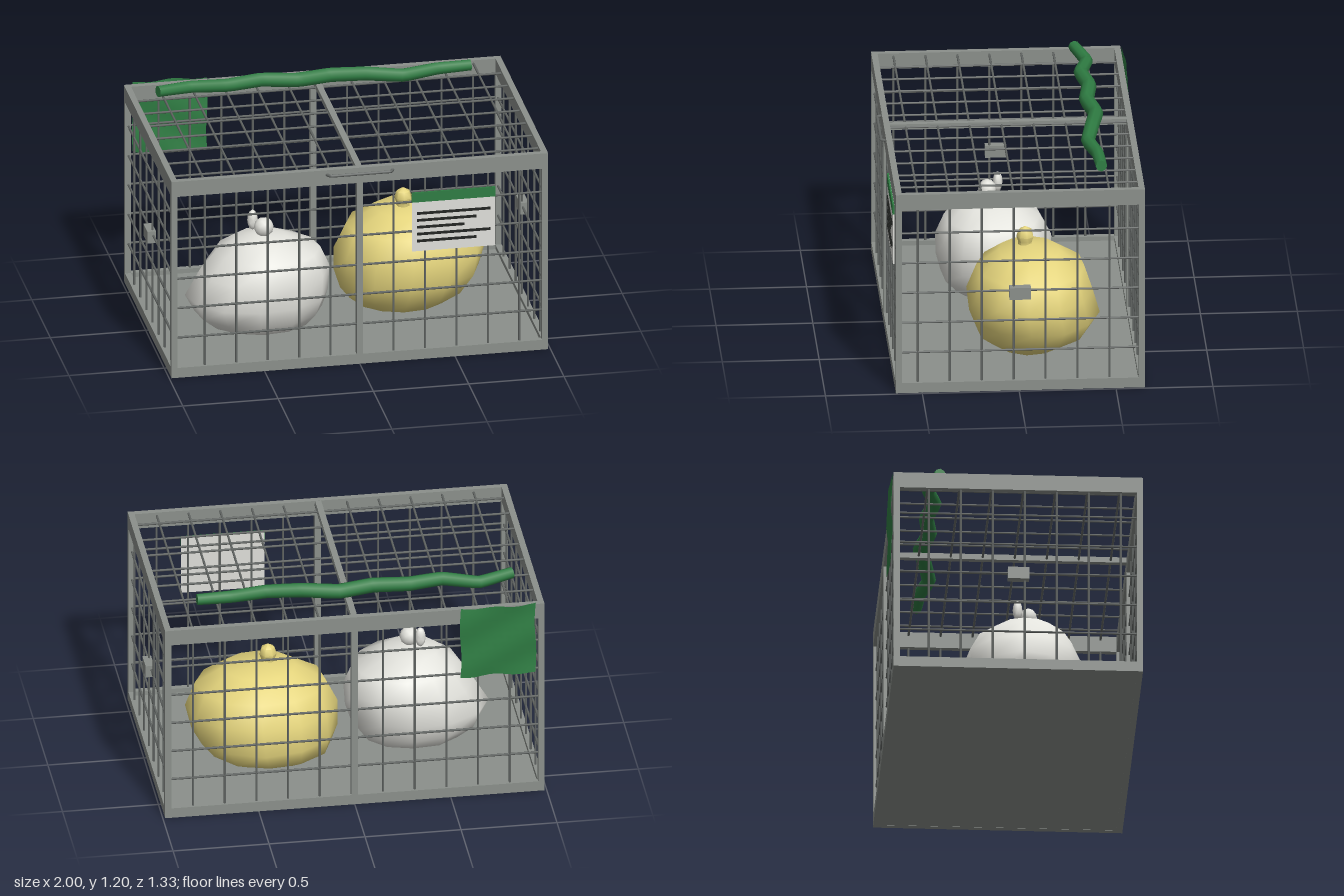
import * as THREE from 'three';
import { toCreasedNormals } from 'three/addons/utils/BufferGeometryUtils.js';

const material = (name, color, side = THREE.FrontSide) => {
  const m = new THREE.MeshStandardMaterial({ color, side });
  m.name = name;
  return m;
};

export function createModel() {
  const root = new THREE.Group();
  root.name = 'producePen';
  const grey = material('frameGrey', 0x8b908b);
  const wire = material('wireGrey', 0x656967);
  const green = material('vineGreen', 0x2f7d43);
  const cloth = material('clothGreen', 0x2f7d43, THREE.DoubleSide);
  const cream = material('paleGourd', 0xe3e3dd);
  const yellow = material('yellowGourd', 0xe5d57d);
  const paper = material('signPaper', 0xdfdfda);
  const ink = material('signInk', 0x222422);

  const group = (name) => {
    const g = new THREE.Group();
    g.name = name;
    root.add(g);
    return g;
  };
  const add = (parent, name, geo, mat, x = 0, y = 0, z = 0) => {
    const m = new THREE.Mesh(geo, mat);
    m.name = name;
    m.position.set(x, y, z);
    parent.add(m);
    return m;
  };
  const box = (parent, name, mat, w, h, d, x, y, z) =>
    add(parent, name, new THREE.BoxGeometry(w, h, d), mat, x, y, z);

  // Frame: floor, posts, deep top rails and shallow bottom rails
  const X = 0.988, Z = 0.643, ZC = -0.007, T = 0.032, H = 1.1;
  const frame = group('frame');
  box(frame, 'floor', grey, 2 * X - 0.02, 0.03, 2 * Z - 0.02, 0, 0.016, ZC);
  for (const s of [-1, 1]) {
    const zs = ZC + s * (Z - T / 2), xs = s * (X - T / 2);
    for (const x of [-(X - T / 2), 0, X - T / 2])
      box(frame, 'post', grey, T, H - 0.01, T, x, H / 2, zs);
    box(frame, 'topLongRail', grey, 2 * X, 0.085, T, 0, H - 0.0425, zs);
    box(frame, 'topSideRail', grey, T, 0.085, 2 * Z - 2 * T, xs, H - 0.0425, ZC);
    box(frame, 'bottomLongRail', grey, 2 * X, 0.055, T, 0, 0.0275, zs);
    box(frame, 'bottomSideRail', grey, T, 0.055, 2 * Z - 2 * T, xs, 0.0275, ZC);
    box(frame, 'latch', grey, 0.045, 0.065, 0.11, s * 0.9775, 0.54, -0.006);
  }
  box(frame, 'topCentreBeam', grey, T, 0.03, 2 * Z - 2 * T, 0, H - 0.016, ZC);

  // Wire mesh on four walls and the top
  const mesh = group('wireMesh');
  const rod = (axis, length, x, y, z) => {
    const m = add(mesh, 'wire', new THREE.CylinderGeometry(0.006, 0.006, length, 6), wire, x, y, z);
    if (axis === 'x') m.rotation.z = Math.PI / 2;
    if (axis === 'z') m.rotation.x = Math.PI / 2;
  };
  const STEP = 0.165, LID = 1.082;
  for (let i = 1; i <= 11; i++) {
    const x = -0.975 + i * STEP;
    for (const s of [-1, 1]) rod('y', 1.04, x, 0.55, ZC + s * 0.626);
    rod('z', 1.25, x, LID, ZC);
  }
  for (let i = 1; i <= 7; i++) {
    const z = -0.633 + i * STEP;
    for (const s of [-1, 1]) rod('y', 1.04, s * 0.969, 0.55, z);
    rod('x', 1.94, 0, LID, z);
  }
  for (let i = 1; i <= 5; i++) {
    const y = 0.054 + i * STEP;
    for (const s of [-1, 1]) {
      rod('x', 1.94, 0, y, ZC + s * 0.626);
      rod('z', 1.25, s * 0.969, y, ZC);
    }
  }

  // Front handle
  const handlePath = new THREE.CurvePath();
  const hp = [[-0.175, 0.63], [-0.158, 0.658], [0.158, 0.658], [0.175, 0.63]]
    .map(([x, z]) => new THREE.Vector3(x, 1.074, z));
  for (let i = 0; i < 3; i++) handlePath.add(new THREE.LineCurve3(hp[i], hp[i + 1]));
  add(root, 'handle', new THREE.TubeGeometry(handlePath, 60, 0.008, 8), wire);

  // Gourds: rings given as [y, xMin, xMax, zMin, zMax], collapsed at both ends
  const gourd = (rings, wobble) => {
    const N = 12, pos = [], idx = [];
    rings.forEach(([y, x0, x1, z0, z1], r) => {
      for (let j = 0; j < N; j++) {
        const a = (j / N) * Math.PI * 2 + 0.1;
        const k = 1 + wobble * Math.sin(j * 2.4 + r * 1.7);
        pos.push((x0 + x1) / 2 + Math.cos(a) * k * (x1 - x0) / 2, y,
          (z0 + z1) / 2 + Math.sin(a) * k * (z1 - z0) / 2);
      }
    });
    for (let r = 0; r < rings.length - 1; r++)
      for (let j = 0; j < N; j++) {
        const a = r * N + j, b = r * N + (j + 1) % N;
        if (r > 0) idx.push(a, a + N, b);
        if (r < rings.length - 2) idx.push(b, a + N, b + N);
      }
    const g = new THREE.BufferGeometry();
    g.setAttribute('position', new THREE.Float32BufferAttribute(pos, 3));
    g.setIndex(idx);
    return toCreasedNormals(g, 1.2);
  };
  const pale = group('paleGourd');
  add(pale, 'paleGourdBody', gourd([
    [0.032, -0.4, -0.4, 0.04, 0.04], [0.032, -0.67, -0.14, -0.17, 0.25],
    [0.1, -0.755, -0.085, -0.225, 0.318], [0.19, -0.797, -0.053, -0.245, 0.34],
    [0.32, -0.72, -0.05, -0.255, 0.34], [0.43, -0.64, -0.1, -0.2, 0.3],
    [0.5, -0.54, -0.27, -0.08, 0.2], [0.525, -0.42, -0.42, 0.06, 0.06]], 0.012), cream);
  const lobe = (name, r, x, y, z, sy) =>
    add(pale, name, toCreasedNormals(new THREE.IcosahedronGeometry(r, 1), 0.8), cream, x, y, z).scale.set(1, sy, 0.9);
  lobe('paleStemLobe', 0.052, -0.395, 0.563, 0.075, 1);
  lobe('paleStemTip', 0.028, -0.443, 0.583, 0.018, 2);

  const gold = group('yellowGourd');
  add(gold, 'yellowGourdBody', gourd([
    [0.032, 0.36, 0.36, -0.08, -0.08], [0.032, 0.13, 0.59, -0.27, 0.1],
    [0.1, 0.04, 0.7, -0.39, 0.185], [0.2, 0.015, 0.77, -0.45, 0.22],
    [0.33, 0.012, 0.795, -0.418, 0.23], [0.46, 0.07, 0.745, -0.378, 0.182],
    [0.545, 0.22, 0.6, -0.25, 0.07], [0.57, 0.38, 0.38, -0.1, -0.1]], 0.012), yellow);
  const stemProfile = [[0.036, 0.53], [0.036, 0.575], [0.046, 0.605], [0.035, 0.64], [0, 0.66]]
    .map(([r, y]) => new THREE.Vector2(r, y));
  add(gold, 'yellowStem', toCreasedNormals(new THREE.LatheGeometry(stemProfile, 7), 0.9), yellow, 0.365, 0, -0.072);

  // Notice board with a header band and thin lines
  const sign = group('noticeBoard');
  box(sign, 'board', paper, 0.435, 0.325, 0.008, 0.4925, 0.768, 0.629);
  box(sign, 'headerBand', green, 0.437, 0.054, 0.009, 0.4925, 0.907, 0.6305);
  [0.685, 0.613, 0.55, 0.685, 0.613].forEach((end, i) =>
    box(sign, 'line', ink, end - 0.3, 0.014, 0.005, (end + 0.3) / 2, 0.817 - i * 0.0385, 0.6345));

  // Crooked stalk above the lid, slimmer towards both ends
  const stalk = [[-0.857, 1.157, -0.402], [-0.675, 1.146, -0.456], [-0.49, 1.158, -0.412],
    [-0.31, 1.16, -0.445], [-0.125, 1.154, -0.42], [0.055, 1.152, -0.456],
    [0.24, 1.158, -0.425], [0.425, 1.147, -0.392], [0.607, 1.153, -0.43], [0.79, 1.155, -0.438]];
  const stalkPath = new THREE.CatmullRomCurve3(stalk.map((p) => new THREE.Vector3(...p)), false, 'catmullrom', 0.12);
  const tube = new THREE.TubeGeometry(stalkPath, 54, 0.04, 8);
  const tp = tube.attributes.position, v = new THREE.Vector3();
  for (let i = 0; i < tp.count; i++) {
    const t = Math.floor(i / 9) / 54;
    v.fromBufferAttribute(tp, i).lerp(stalkPath.getPointAt(t), 0.25 * (1 - Math.sin(Math.PI * t)));
    tp.setXYZ(i, v.x, v.y, v.z);
  }
  add(root, 'stalk', tube, green);
  for (const [i, s] of [[0, -1], [9, 1]]) {
    const cap = add(root, 'stalkEnd', new THREE.CircleGeometry(0.03, 8), green, ...stalk[i]);
    cap.lookAt(cap.position.clone().addScaledVector(stalkPath.getTangent(i / 9), s));
  }

  // Ragged cloth hanging on the back wall
  const sheet = new THREE.PlaneGeometry(0.39, 0.4, 10, 10);
  const p = sheet.attributes.position;
  for (let i = 0; i < p.count; i++) {
    const x = p.getX(i), y = p.getY(i);
    const edge = Math.abs(y) > 0.19 ? 0.006 * Math.sin(x * 27 + 1) : 0;
    p.setXYZ(i, x + 0.005 * Math.sin(y * 18), y + edge, 0.006 * Math.sin(x * 13 + y * 24));
  }
  sheet.computeVertexNormals();
  add(root, 'hangingCloth', sheet, cloth, -0.745, 0.905, -0.659);

  return root;
}
